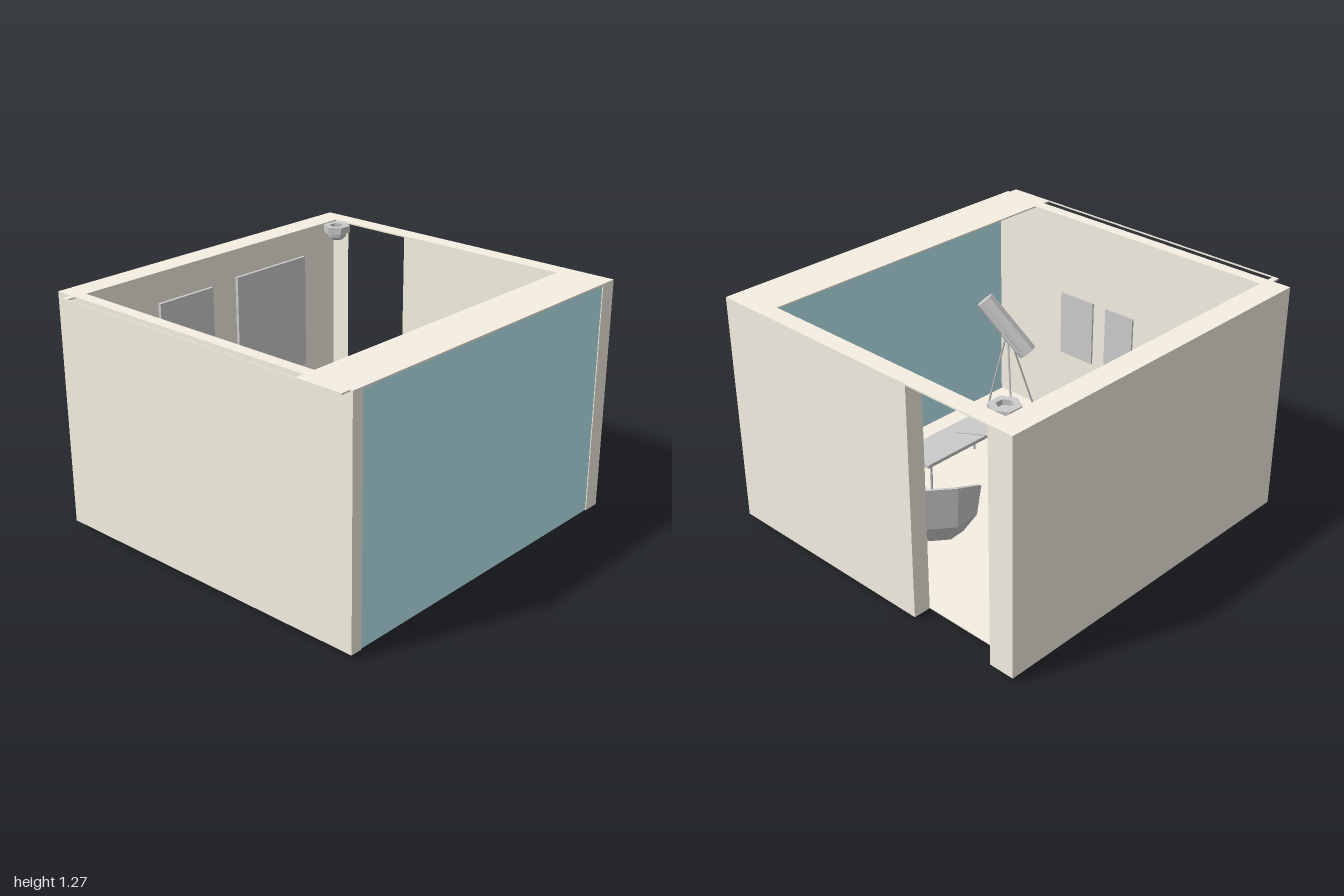
import * as THREE from 'three';

const mat = (color) => new THREE.MeshStandardMaterial({ color, flatShading: true, side: THREE.DoubleSide });

export function createModel() {
  const room = new THREE.Group();
  room.name = 'room';
  const grey = mat(0xcccccc), cream = mat(0xf5f0e2), blue = mat(0xbdebf3);
  const creamOut = new THREE.MeshStandardMaterial({ color: 0xf5f0e2 });
  const LOW = 0.03, TOP = 1.27;

  const add = (name, geo, m = grey, parent = room) => {
    const mesh = new THREE.Mesh(geo, m);
    mesh.name = name;
    parent.add(mesh);
    return mesh;
  };
  const group = (name, x = 0, y = 0, z = 0, parent = room) => {
    const g = new THREE.Group();
    g.name = name;
    g.position.set(x, y, z);
    parent.add(g);
    return g;
  };
  // Box given by its limits
  const box = (name, x0, x1, y0, y1, z0, z1, m = grey, parent = room) => {
    const mesh = add(name, new THREE.BoxGeometry(x1 - x0, y1 - y0, z1 - z0), m, parent);
    mesh.position.set((x0 + x1) / 2, (y0 + y1) / 2, (z0 + z1) / 2);
    return mesh;
  };
  // Upright wall sheet from (x0,z0) to (x1,z1); front is on the right-hand side
  const sheet = (name, x0, z0, x1, z1, m) => {
    const mesh = add(name, new THREE.PlaneGeometry(Math.hypot(x1 - x0, z1 - z0), TOP - LOW), m);
    mesh.position.set((x0 + x1) / 2, (LOW + TOP) / 2, (z0 + z1) / 2);
    mesh.rotation.y = -Math.atan2(z1 - z0, x1 - x0);
  };
  // Round rod between two points
  const rod = (name, a, b, r, parent, sides = 6) => {
    const p = new THREE.Vector3(...a), d = new THREE.Vector3(...b).sub(p);
    const mesh = add(name, new THREE.CylinderGeometry(r, r, d.length(), sides), grey, parent);
    mesh.position.copy(p).addScaledVector(d, 0.5);
    mesh.quaternion.setFromUnitVectors(new THREE.Vector3(0, 1, 0), d.normalize());
  };

  // Hollow walls, with a doorway in the left wall
  sheet('backWallOuter', 1, -0.95, -0.95, -0.95, creamOut);
  sheet('rightWallOuter', -0.95, -0.95, -0.95, 0.94, creamOut);
  sheet('leftWallOuter', 1, 0.94, 1, -0.32, cream);
  sheet('doorCorner', 1, -0.81, 1, -0.95, cream);
  sheet('doorJamb', 1, -0.32, 0.905, -0.32, cream);
  sheet('leftWallInner', 0.905, -0.32, 0.905, 0.94, cream);
  sheet('rightWallInner', -0.885, 0.94, -0.885, -0.84, cream);
  sheet('backWallInner', -0.885, -0.84, 0.905, -0.84, cream);
  sheet('frontPost', -0.95, 0.94, -0.885, 0.94, cream);
  sheet('frontPost', 0.905, 0.94, 1, 0.94, cream);
  sheet('window', -0.885, 0.935, 0.905, 0.935, blue);
  box('floor', -0.885, 0.905, LOW, 0.036, -0.84, 0.93, cream);

  // Thin ceiling rim with a large opening
  const rect = (S, x0, x1, z0, z1) => {
    const s = new S();
    s.moveTo(x0, z0).lineTo(x1, z0).lineTo(x1, z1).lineTo(x0, z1).closePath();
    return s;
  };
  const rim = rect(THREE.Shape, -0.95, 1, -0.95, 0.94);
  rim.holes.push(rect(THREE.Path, -0.885, 0.905, -0.82, 0.67));
  const rimGeo = new THREE.ExtrudeGeometry(rim, { depth: 0.008, bevelEnabled: false });
  add('ceilingRim', rimGeo.rotateX(Math.PI / 2), cream).position.y = TOP;
  box('rimTab', -1, -0.95, 1.262, TOP, -0.85, -0.82, cream);
  box('rimTab', -1, -0.95, 1.262, TOP, 0.67, 0.925, cream);
  box('rimStrip', -1, -0.997, 1.262, TOP, -0.82, 0.67, cream);

  // Wall panels
  [[-0.42, -0.055, 0.64, 1.1], [0.125, 0.65, 0.47, 1.11], [-0.385, -0.09, 0.22, 0.54]]
    .forEach(([x0, x1, y0, y1]) => box('backPanel', x0, x1, y0, y1, -0.84, -0.822));
  [[-0.05, 0.14], [0.23, 0.46]].forEach(([z0, z1]) => box('sidePanel', -0.885, -0.875, 0.45, 0.82, z0, z1));

  // Stepped shelf: each board is shorter than the one below
  const shelf = group('steppedShelf');
  for (let i = 0; i < 5; i++) {
    const y = 0.16 + i * 0.133, z = -0.16 - i * 0.133;
    box('shelfBoard', -0.79, -0.63, y - 0.012, y, -0.82, z, grey, shelf);
    for (const x of [-0.785, -0.635])
      for (const pz of i === 0 ? [z - 0.006, -0.814] : [z - 0.006])
        box('shelfPost', x - 0.005, x + 0.005, LOW, pz === -0.814 ? 0.69 : y, pz - 0.004, pz + 0.004, grey, shelf);
  }

  // Corner lamp: hexagonal collar, ring and bowl
  const lamp = group('cornerLamp', 0.83, 0, -0.745);
  const collar = [[0.04, 1.24], [0.04, 1.268], [0.075, 1.268], [0.075, 1.23], [0.055, 1.23],
    [0.05, 1.205], [0.03, 1.188], [0, 1.184]].map((p) => new THREE.Vector2(...p));
  add('lampBody', new THREE.LatheGeometry(collar, 6, Math.PI / 6 + Math.PI / 3), grey, lamp);
  add('lampCap', new THREE.CylinderGeometry(0.042, 0.042, 0.006, 6), grey, lamp).position.y = 1.24;
  lamp.children.forEach((c) => { c.rotation.y = c.name === 'lampCap' ? Math.PI / 2 : 0; });

  // Low table on two sled frames
  const table = group('table');
  box('tableTop', -0.29, 0.28, 0.235, 0.255, 0.34, 0.555, grey, table);
  for (const z of [0.357, 0.545]) {
    box('tableRunner', -0.265, 0.25, 0.002, 0.012, z - 0.005, z + 0.005, grey, table);
    for (const x of [-0.26, 0.245]) box('tableLeg', x - 0.005, x + 0.005, 0.002, 0.235, z - 0.005, z + 0.005, grey, table);
  }
  const tray = add('tray', new THREE.BoxGeometry(0.13, 0.006, 0.19), grey, table);
  tray.position.set(-0.16, 0.257, 0.43);
  tray.rotation.y = 0.57;

  // Faceted tub chair, lofted from outer base over the rim to the seat
  const half = [[0.153, 0, 0.19], [0.228, -0.08, 0.27], [0.21, -0.185, 0.34], [0.092, -0.295, 0.4]];
  const outline = [...half, ...half.map(([x, z, y]) => [-x, z, y]).reverse()];
  const ring = (s, y) => outline.map(([x, z, h]) => [x * s, y ?? h, -0.05 + (z + 0.05) * s]);
  const loops = [ring(0.6, 0.036), ring(0.92, 0.16), ring(1), ring(0.94), ring(0.8, 0.18)];
  const pos = [];
  const n = outline.length;
  for (let k = 0; k < loops.length - 1; k++)
    for (let i = 0; i < n; i++) {
      const j = (i + 1) % n, [a, b, c, d] = [loops[k][i], loops[k][j], loops[k + 1][j], loops[k + 1][i]];
      pos.push(...a, ...b, ...c, ...a, ...c, ...d);
    }
  const seat = loops[4];
  for (let i = 1; i < n - 1; i++) pos.push(...seat[0], ...seat[i], ...seat[i + 1]);
  const tub = new THREE.BufferGeometry();
  tub.setAttribute('position', new THREE.Float32BufferAttribute(pos, 3));
  tub.computeVertexNormals();
  [[0.37, 0.195, -0.62, 0.78], [0.565, 0.579, -0.8, -0.58]].forEach(([x, z, fx, fz]) => {
    const chair = add('tubChair', tub);
    chair.position.set(x, 0, z);
    chair.rotation.y = Math.atan2(fx, fz);
  });

  // Sunburst on the left wall with a short arm
  const sun = group('sunburst', 0.89, 0.77, 0.29);
  sun.rotation.y = -Math.PI / 2;
  const disc = add('sunDisc', new THREE.CylinderGeometry(0.15, 0.15, 0.01, 16), grey, sun);
  disc.rotation.x = Math.PI / 2;
  const ray = new THREE.BufferGeometry();
  ray.setAttribute('position', new THREE.Float32BufferAttribute(
    [-0.045, 0.14, 0, 0.045, 0.14, 0, 0, 0.245, 0.05, 0.045, 0.14, 0, 0, 0.14, 0.025, 0, 0.245, 0.05], 3));
  ray.computeVertexNormals();
  for (let i = 0; i < 12; i++) add('sunRay', ray, grey, sun).rotation.z = (i * Math.PI) / 6;
  rod('sunArm', [0, 0, 0], [0, 0, 0.17], 0.004, sun);
  rod('armEnd', [-0.02, 0, 0.17], [0.02, 0, 0.17], 0.004, sun);

  // Telescope on a tripod by the window
  const scope = group('telescope');
  const hub = [-0.67, 0.58, 0.68];
  rod('scopeTube', [-0.71, 0.47, 0.56], [-0.6, 0.76, 0.79], 0.055, scope, 8);
  rod('finder', [-0.6, 0.52, 0.53], [-0.56, 0.62, 0.61], 0.012, scope);
  [[-0.84, 0.62], [-0.58, 0.56], [-0.65, 0.83]].forEach(([x, z]) => rod('tripodLeg', hub, [x, 0.02, z], 0.006, scope));

  return room;
}
